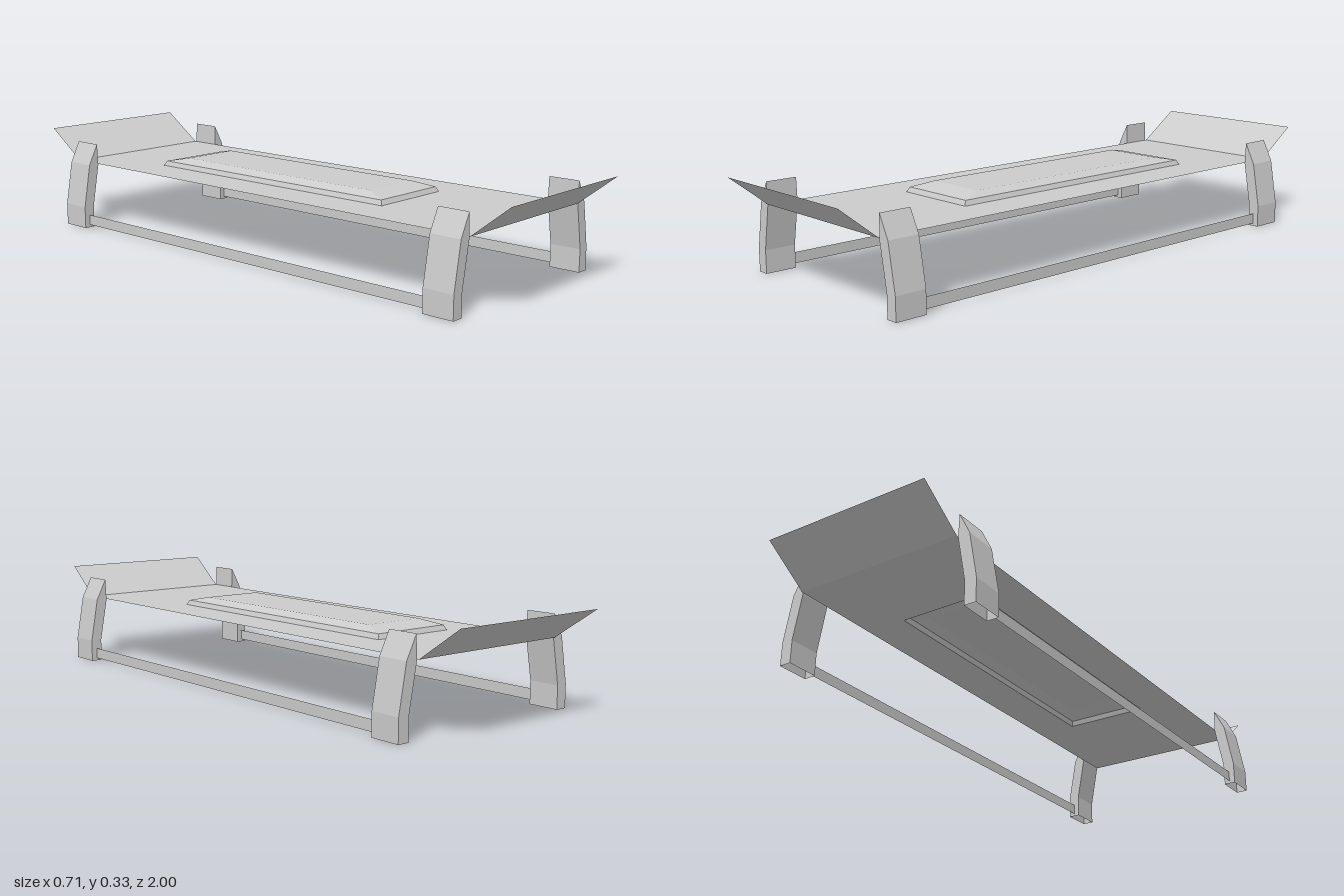
import * as THREE from 'three';

const material = new THREE.MeshStandardMaterial({ color: 0xcccccc, flatShading: true, side: THREE.DoubleSide });

function part(name, geometry) {
  const mesh = new THREE.Mesh(geometry, material);
  mesh.name = name;
  return mesh;
}

function geometryFrom(positions) {
  const g = new THREE.BufferGeometry();
  g.setAttribute('position', new THREE.Float32BufferAttribute(positions, 3));
  g.computeVertexNormals();
  return g;
}

// Quads with corners counter-clockwise as seen from outside
function quads(list) {
  return geometryFrom(list.flatMap(([a, b, c, d]) => [a, b, c, a, c, d].flat()));
}

// Rectangle in plan, counter-clockwise seen from above
function ring(x, zBack, zFront, y) {
  return [[-x, y, zFront], [x, y, zFront], [x, y, zBack], [-x, y, zBack]];
}

export function createModel() {
  const group = new THREE.Group();
  const W = 0.286, DECK = 0.225, TIP = 0.327;
  const zBack = -0.85, zFront = 0.87;

  // Thin deck, open beneath the raised panel
  const deckShape = new THREE.Shape([
    [-W, -zFront], [W, -zFront], [W, -zBack], [-W, -zBack],
  ].map(p => new THREE.Vector2(...p)));
  deckShape.holes.push(new THREE.Path([
    [-0.145, -0.45], [-0.145, 0.545], [0.145, 0.545], [0.145, -0.45],
  ].map(p => new THREE.Vector2(...p))));
  group.add(part('deck', new THREE.ShapeGeometry(deckShape).rotateX(-Math.PI / 2).translate(0, DECK, 0)));

  // Upturned ends
  group.add(part('frontFlap', quads([[[-W, TIP, 1], [W, TIP, 1], [W, DECK, zFront], [-W, DECK, zFront]]])));
  group.add(part('backFlap', quads([[[-W, DECK, zBack], [W, DECK, zBack], [W, TIP, -1], [-W, TIP, -1]]])));

  // Raised hollow panel: short wall, bevel, flat top
  const rings = [
    ring(0.145, -0.545, 0.45, DECK),
    ring(0.138, -0.537, 0.442, 0.241),
    ring(0.105, -0.46, 0.37, 0.256),
  ];
  const faces = [rings[2]];
  for (let r = 0; r < 2; r++) {
    for (let i = 0; i < 4; i++) {
      const j = (i + 1) % 4;
      faces.push([rings[r][i], rings[r][j], rings[r + 1][j], rings[r + 1][i]]);
    }
  }
  group.add(part('raisedPanel', quads(faces)));

  // Bent legs, hollow with open bottoms
  const profile = [
    [0.314, 0], [0.353, 0], [0.353, 0.075], [0.326, 0.225],
    [0.29, 0.296], [0.287, 0.222], [0.314, 0.075],
  ];
  for (const side of [1, -1]) {
    const sideName = side > 0 ? 'left' : 'right';
    const shape = new THREE.Shape(profile.map(([x, y]) => new THREE.Vector2(x * side, y)));
    for (const [end, z] of [['Front', 0.765], ['Back', -0.845]]) {
      const solid = new THREE.ExtrudeGeometry(shape, { depth: 0.105, bevelEnabled: false }).translate(0, 0, z);
      const p = solid.toNonIndexed?.call(solid.index ? solid : solid.clone()) && solid.attributes.position.array;
      const kept = [];
      for (let i = 0; i < p.length; i += 9) {
        if (Math.max(p[i + 1], p[i + 4], p[i + 7]) > 1e-4) kept.push(...p.slice(i, i + 9));
      }
      group.add(part(sideName + end + 'Leg', geometryFrom(kept)));
    }
    // Thin low rail joining the legs of one side
    const rail = new THREE.PlaneGeometry(1.505, 0.036).rotateY(side * Math.PI / 2).translate(side * 0.333, 0.027, 0.0125);
    group.add(part(sideName + 'Rail', rail));
  }
  return group;
}
